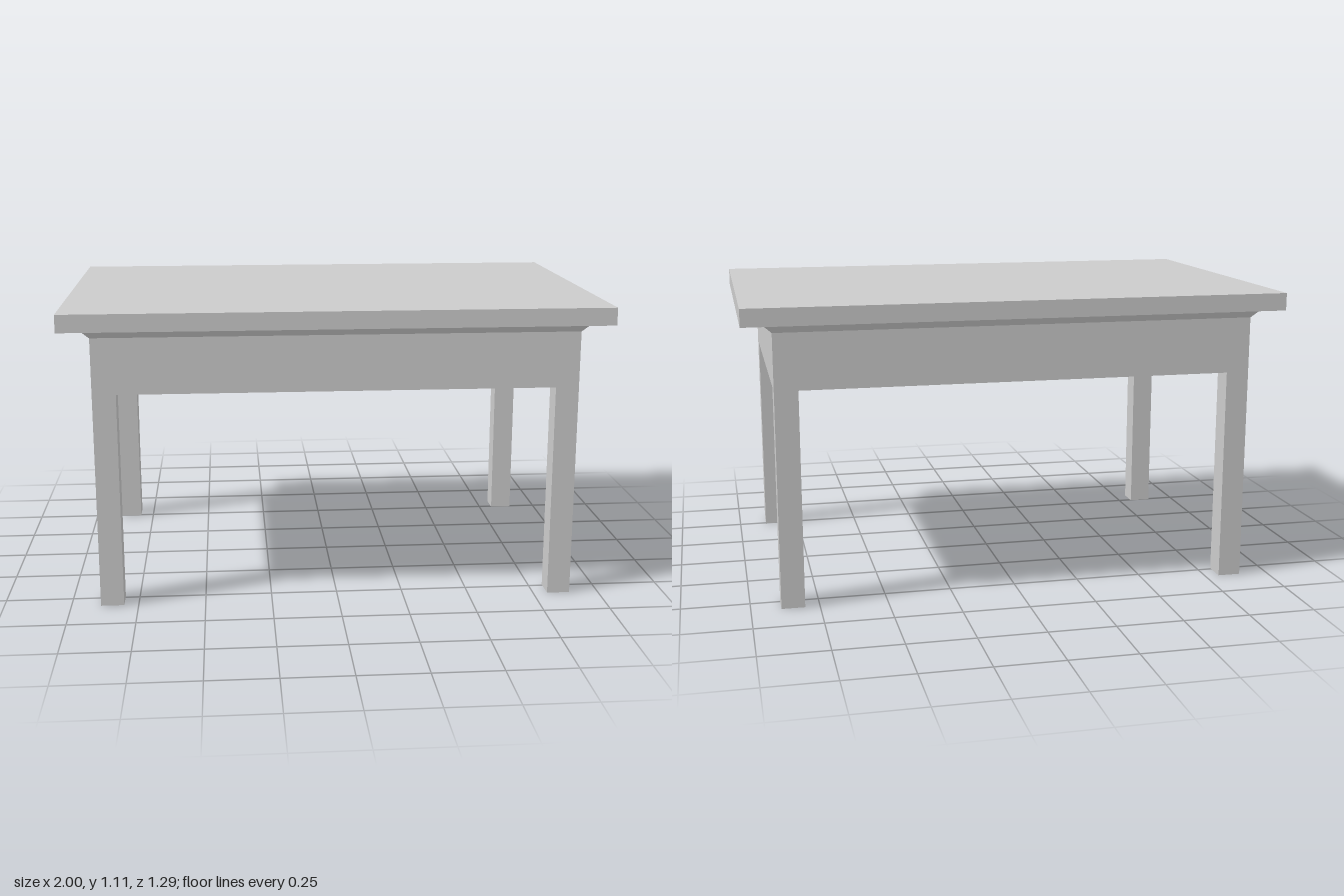
import * as THREE from 'three';

const material = new THREE.MeshStandardMaterial({ color: 0xcccccc, flatShading: true });

// Heights
const APRON_BOTTOM = 0.807, APRON_TOP = 1.015, SLAB_BOTTOM = 1.047, TOP = 1.112;
// Half extents
const BASE_X = 0.89, BASE_Z = 0.578;
const LEG = 0.086;

// Box spanning y0..y1, centred on x and z
function block(name, width, depth, y0, y1, x = 0, z = 0) {
  const geometry = new THREE.BoxGeometry(width, y1 - y0, depth);
  const mesh = new THREE.Mesh(geometry, material);
  mesh.name = name;
  mesh.position.set(x, (y0 + y1) / 2, z);
  return mesh;
}

export function createModel() {
  const table = new THREE.Group();
  table.name = 'table';

  // Overhanging slab
  table.add(block('tableTop', 2, 1.294, SLAB_BOTTOM, TOP));

  // Sloped moulding: a block whose upper corners flare outward
  const moulding = block('moulding', BASE_X * 2, BASE_Z * 2, APRON_TOP, SLAB_BOTTOM);
  const pos = moulding.geometry.attributes.position;
  for (let i = 0; i < pos.count; i++) {
    if (pos.getY(i) > 0) {
      pos.setX(i, Math.sign(pos.getX(i)) * 0.924);
      pos.setZ(i, Math.sign(pos.getZ(i)) * 0.599);
    }
  }
  moulding.geometry.computeVertexNormals();
  table.add(moulding);

  // Solid apron body with a flat underside
  table.add(block('apron', BASE_X * 2, BASE_Z * 2, APRON_BOTTOM, APRON_TOP));

  // Square legs flush with the apron corners
  for (const [sx, side] of [[1, 'Left'], [-1, 'Right']]) {
    for (const [sz, end] of [[1, 'front'], [-1, 'back']]) {
      table.add(block(`${end}${side}Leg`, LEG, LEG, 0, APRON_BOTTOM,
        sx * (BASE_X - LEG / 2), sz * (BASE_Z - LEG / 2)));
    }
  }

  return table;
}
